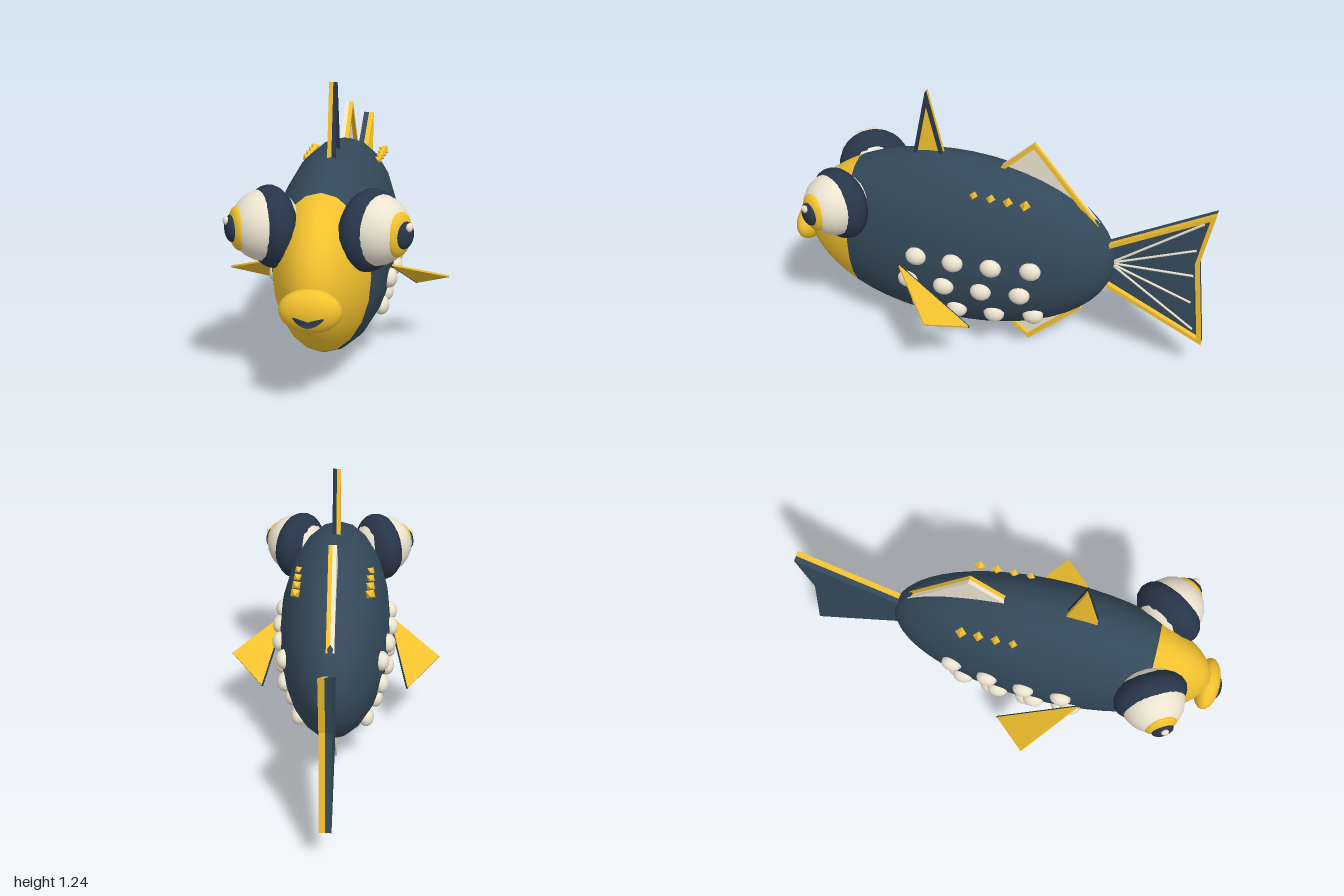
import * as THREE from 'three';

const paint = (color) => new THREE.MeshStandardMaterial({ color });
const slate = paint(0x34495a), navy = paint(0x28364a), yellow = paint(0xf2c12e), cream = paint(0xece4d0);

// Body ellipsoid
const C = { y: 0.508, z: 0.18 }, R = { x: 0.26, y: 0.437, z: 0.75 };
const surfaceX = (y, z) => R.x * Math.sqrt(Math.max(0, 1 - ((y - C.y) / R.y) ** 2 - ((z - C.z) / R.z) ** 2));

function add(parent, name, geometry, material, x = 0, y = 0, z = 0) {
  const mesh = new THREE.Mesh(geometry, material);
  mesh.name = name;
  mesh.position.set(x, y, z);
  parent.add(mesh);
  return mesh;
}

function ellipsoid(parent, name, material, pos, radii, w = 20, h = 14) {
  const mesh = add(parent, name, new THREE.SphereGeometry(1, w, h), material, ...pos);
  mesh.scale.set(...radii);
  return mesh;
}

function rod(parent, name, material, a, b, r) {
  const from = new THREE.Vector3(...a), to = new THREE.Vector3(...b);
  const mesh = add(parent, name, new THREE.CylinderGeometry(r, r, from.distanceTo(to), 6), material);
  mesh.position.copy(from).lerp(to, 0.5);
  mesh.quaternion.setFromUnitVectors(new THREE.Vector3(0, 1, 0), to.sub(from).normalize());
}

// Counter-clockwise outline moved inward by a constant width
function inset(points, width) {
  const n = points.length;
  return points.map((p, i) => {
    const d1 = p.clone().sub(points[(i + n - 1) % n]).normalize();
    const d2 = points[(i + 1) % n].clone().sub(p).normalize();
    const n1 = new THREE.Vector2(-d1.y, d1.x), n2 = new THREE.Vector2(-d2.y, d2.x);
    return p.clone().addScaledVector(n1.clone().add(n2), width / (1 + n1.dot(n2)));
  });
}

// Upright fin from [z, y] corners: a plate on one side and a trim frame on the other
function trimmedFin(parent, name, corners, plate, trim, thick, width) {
  const fin = new THREE.Group();
  fin.name = name;
  parent.add(fin);
  let pts = corners.map(([z, y]) => new THREE.Vector2(-z, y));
  if (THREE.ShapeUtils.isClockWise(pts)) pts = pts.reverse();
  const frame = new THREE.Shape(pts);
  frame.holes.push(new THREE.Path(inset(pts, width)));
  const extrude = (shape) =>
    new THREE.ExtrudeGeometry(shape, { depth: thick, bevelEnabled: false }).rotateY(Math.PI / 2);
  add(fin, 'finPlate', extrude(new THREE.Shape(pts)), plate, -thick);
  add(fin, 'finTrim', extrude(frame), trim);
  return fin;
}

function buildEye(parent, side) {
  // Local +x is the gaze axis, turned outward and forward
  const eye = new THREE.Group();
  eye.name = side > 0 ? 'leftEye' : 'rightEye';
  eye.position.set(side * 0.2, 0.708, 0.67);
  eye.rotation.y = side > 0 ? -Math.PI / 6 : Math.PI + Math.PI / 6;
  parent.add(eye);
  ellipsoid(eye, 'eyeSocket', navy, [0, 0, 0], [0.1, 0.168, 0.168]);
  ellipsoid(eye, 'eyeball', cream, [0.023, 0.008, 0], [0.145, 0.145, 0.145]);
  ellipsoid(eye, 'iris', yellow, [0.138, 0.008, 0], [0.035, 0.09, 0.076]);
  ellipsoid(eye, 'pupil', navy, [0.166, 0.01, 0], [0.025, 0.055, 0.05]);
  ellipsoid(eye, 'eyeGlint', cream, [0.186, 0.045, 0], [0.013, 0.018, 0.018], 10, 8);
}

function buildPectoralFin(parent, side) {
  const name = side > 0 ? 'leftPectoralFin' : 'rightPectoralFin';
  const root = [side * 0.255, 0.467, 0.375], tip = [side * 0.497, 0.352, 0.16], rear = [side * 0.342, 0.262, 0.005];
  const tri = [root, tip, rear].map((p) => new THREE.Vector3(...p));
  const normal = tri[1].clone().sub(tri[0]).cross(tri[2].clone().sub(tri[0])).normalize().multiplyScalar(0.004);
  const top = tri.map((p) => p.clone().add(normal)), low = tri.map((p) => p.clone().sub(normal));
  const faces = [top[0], top[1], top[2], low[0], low[2], low[1]];
  for (let i = 0; i < 3; i++) {
    const j = (i + 1) % 3;
    faces.push(low[i], low[j], top[j], low[i], top[j], top[i]);
  }
  const geometry = new THREE.BufferGeometry().setFromPoints(faces);
  geometry.computeVertexNormals();
  add(parent, name, geometry, yellow);
  rod(parent, name + 'Edge', navy, root, rear, 0.005);
}

export function createModel() {
  const fish = new THREE.Group();
  fish.name = 'fish';

  // Body and face meet at a crisp ring
  const seam = Math.acos((0.65 - C.z) / R.z);
  for (const [name, mat, start, length, rings] of [
    ['face', yellow, 0, seam, 8], ['body', slate, seam, Math.PI - seam, 18]]) {
    const geometry = new THREE.SphereGeometry(1, 20, rings, 0, Math.PI * 2, start, length).rotateX(Math.PI / 2);
    add(fish, name, geometry, mat, 0, C.y, C.z).scale.set(R.x, R.y, R.z);
  }

  // Lips and mouth
  ellipsoid(fish, 'lips', yellow, [0, 0.455, 0.927], [0.125, 0.088, 0.06]);
  const mouth = new THREE.Shape();
  mouth.moveTo(-0.068, 0.447);
  mouth.quadraticCurveTo(-0.03, 0.442, 0, 0.43);
  mouth.quadraticCurveTo(0.03, 0.442, 0.068, 0.447);
  mouth.quadraticCurveTo(0, 0.375, -0.068, 0.447);
  const mouthGeometry = new THREE.ExtrudeGeometry(mouth, { depth: 0.06, bevelEnabled: false, curveSegments: 8 });
  // Curve the mouth back around the lips
  const mp = mouthGeometry.attributes.position;
  for (let i = 0; i < mp.count; i++) mp.setZ(i, mp.getZ(i) - 6 * mp.getX(i) ** 2);
  mouthGeometry.computeVertexNormals();
  add(fish, 'mouth', mouthGeometry, navy, 0, 0, 0.94);

  // Upright fins and tail
  trimmedFin(fish, 'dorsalSpike', [[0.385, 0.88], [0.31, 1.235], [0.225, 0.88]], yellow, navy, 0.018, 0.013);
  trimmedFin(fish, 'rearDorsalFin', [[0.03, 0.86], [-0.19, 1.062], [-0.49, 0.7], [-0.4, 0.64]], cream, yellow, 0.018, 0.017);
  trimmedFin(fish, 'ventralFin', [[0.03, 0.18], [-0.18, 0], [-0.43, 0.235], [-0.3, 0.32]], cream, yellow, 0.018, 0.017);
  const tail = trimmedFin(fish, 'tailFin',
    [[-0.48, 0.585], [-0.995, 0.86], [-0.945, 0.595], [-0.995, 0.165], [-0.48, 0.42]], slate, yellow, 0.026, 0.018);
  for (const [z, y] of [[-0.945, 0.795], [-0.925, 0.655], [-0.925, 0.52], [-0.925, 0.375], [-0.945, 0.23]]) {
    rod(tail, 'tailRay', cream, [0.003, 0.51, -0.55], [0.003, y, z], 0.006);
  }

  for (const side of [1, -1]) {
    buildEye(fish, side);
    buildPectoralFin(fish, side);

    // Staggered rows of scale bumps
    for (const [y, z0] of [[0.535, 0.285], [0.395, 0.333], [0.25, 0.285]]) {
      for (let i = 0; i < 4; i++) {
        const z = z0 - i * 0.174;
        ellipsoid(fish, 'scaleBump', cream, [side * surfaceX(y, z), y, z], [0.036, 0.043, 0.049], 14, 10);
      }
    }

    // Row of small studs on the upper back
    for (let i = 0; i < 4; i++) {
      const z = 0.04 - i * 0.078, y = 0.846 - i * 0.003;
      const stud = add(fish, 'backStud', new THREE.OctahedronGeometry(0.02 + i * 0.002, 0), yellow,
        side * 0.163, y, z);
      stud.rotation.z = side * -0.6;
    }
  }
  return fish;
}
